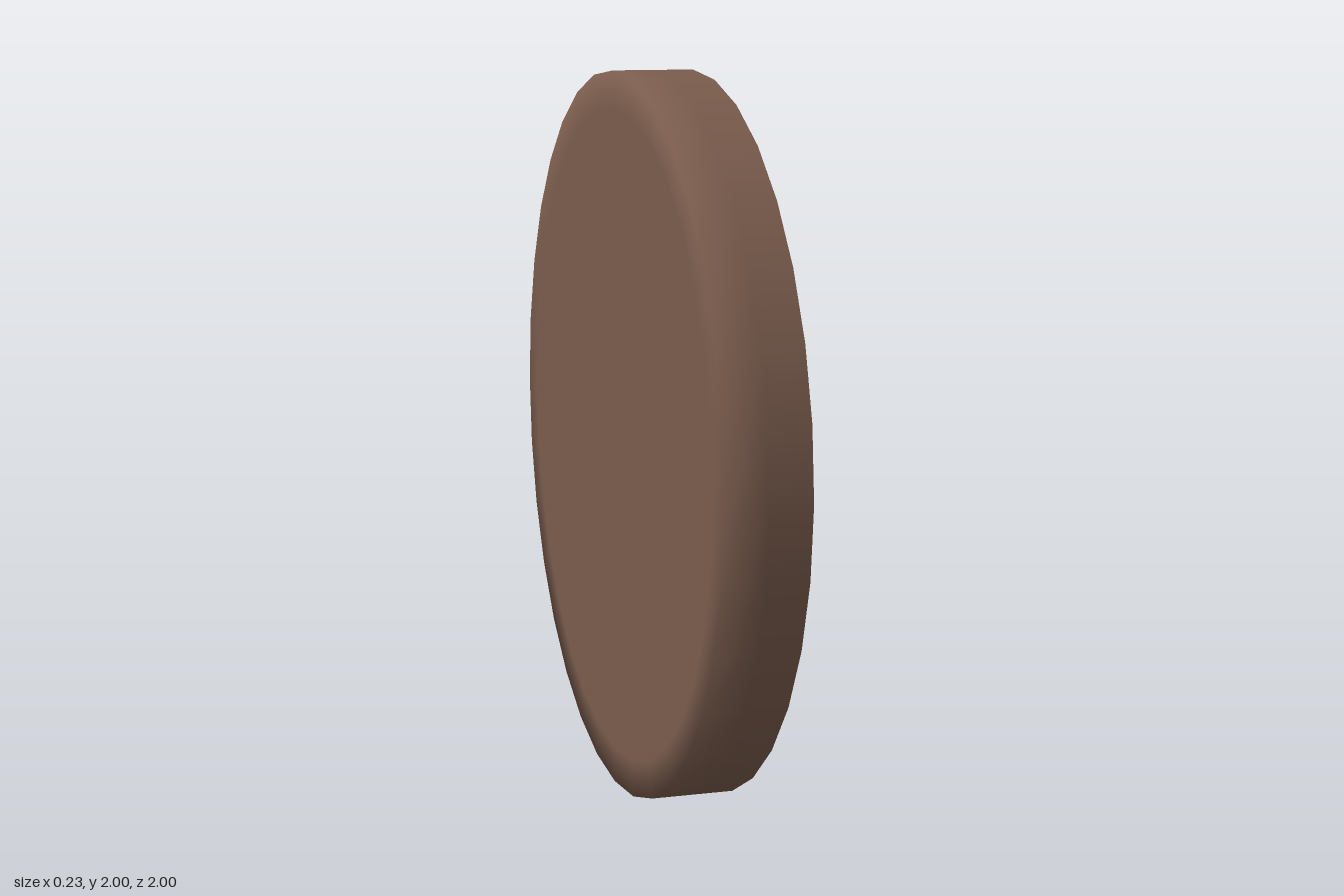
import * as THREE from 'three';

const SIDES = 32, R = 1, INNER = 0.925, HALF = 0.113, GLASS_X = 0.03;

export function createModel() {
  const wood = new THREE.MeshStandardMaterial({ color: 0x7a5c4d });
  wood.name = 'brown wood';
  const blue = new THREE.MeshStandardMaterial({ color: 0x337bad });
  blue.name = 'blue glass';

  const model = new THREE.Group();
  model.name = 'roundWindow';
  const add = (parent, name, geometry, material) => {
    const mesh = new THREE.Mesh(geometry, material);
    mesh.name = name;
    parent.add(mesh);
    return mesh;
  };

  // Turned parts: profiles are [radius, depth], with depth running along +x
  const turned = new THREE.Group();
  turned.name = 'frame';
  turned.rotation.z = -Math.PI / 2;
  turned.position.y = R;
  model.add(turned);
  const lathe = (name, profile, material) =>
    add(turned, name, new THREE.LatheGeometry(profile.map(p => new THREE.Vector2(...p)), SIDES), material);

  // Back and outer rim share a soft edge; the front edges are sharp
  lathe('backAndRim', [[0, -HALF], [0.9, -HALF], [R, -HALF], [R, 0], [R, HALF]], wood);
  lathe('frontFace', [[R, HALF], [INNER, HALF]], wood);
  lathe('innerWall', [[INNER, HALF], [INNER, GLASS_X]], wood);
  lathe('glass', [[INNER, GLASS_X], [0, GLASS_X]], blue);

  // Crossing round bars, ends buried in the frame
  const bar = (name, radius, x) => {
    const mesh = add(model, name, new THREE.CylinderGeometry(radius, radius, INNER * 2 + 0.04, 16), wood);
    mesh.position.set(x, R, 0);
    return mesh;
  };
  bar('verticalBar', 0.051, 0.056);
  bar('horizontalBar', 0.054, 0.046).rotation.x = Math.PI / 2;

  return model;
}
